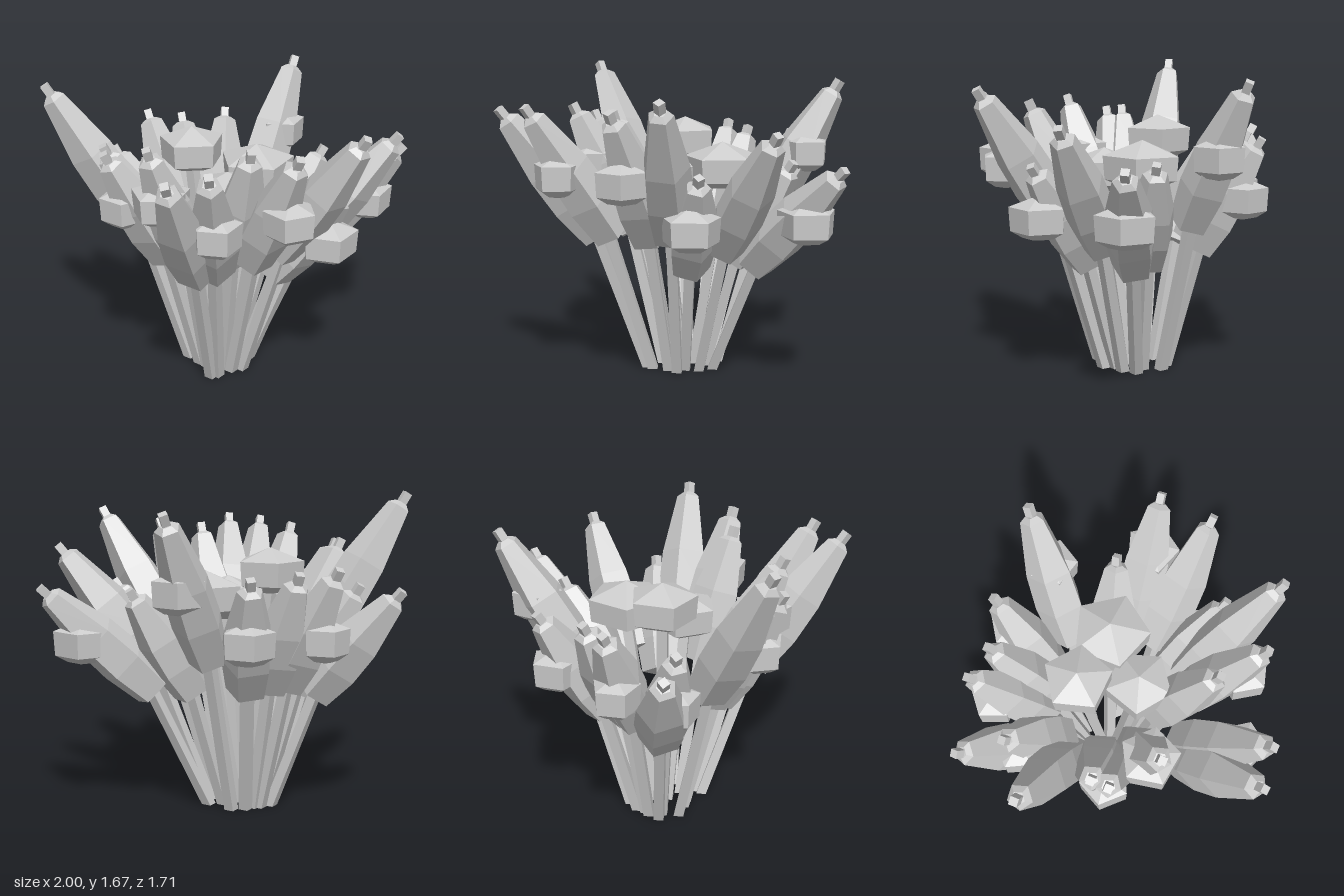
import * as THREE from 'three';

const UP = new THREE.Vector3(0, 1, 0);
const material = new THREE.MeshStandardMaterial({ color: 0xcccccc, flatShading: true, side: THREE.DoubleSide });
const v = (x, y, z) => new THREE.Vector3(x, y, z);

// Faceted solid of revolution from [radius, height] pairs
function faceted(profile, sides) {
  return new THREE.LatheGeometry(profile.map(([r, y]) => new THREE.Vector2(r, y)), sides).toNonIndexed();
}

function mesh(name, geometry) {
  const m = new THREE.Mesh(geometry, material);
  m.name = name;
  return m;
}

// Foot of a stem on the ground, gathered towards the middle of the bunch
const foot = (x, z) => v(-0.072 + x * 0.185, 0, -0.115 + z * 0.24);

// Four-sided stem, sheared so its foot stays flat on the ground
function stem(from, to) {
  const h = to.y - from.y;
  const g = new THREE.CylinderGeometry(0.038, 0.038, h, 4).translate(0, h / 2, 0);
  const p = g.attributes.position;
  for (let i = 0; i < p.count; i++) {
    const t = p.getY(i) / h;
    p.setX(i, p.getX(i) + from.x + (to.x - from.x) * t);
    p.setZ(i, p.getZ(i) + from.z + (to.z - from.z) * t);
  }
  return mesh('stem', g);
}

// Long five-sided bud ending in a small square tip
function bud(x, y, z) {
  const g = new THREE.Group();
  g.name = 'bud';
  const base = foot(x, z);
  const tip = v(x, y - 0.015, z);
  const bottom = base.clone().lerp(tip, 0.35).setY(y * 0.5 + 0.055);
  const dir = tip.clone().sub(bottom);
  const len = dir.length();
  const body = new THREE.Group();
  body.name = 'budBody';
  const profile = [[0, 0], [0.11, 0], [0.134, 0.28], [0.125, 0.55], [0.066, 0.94], [0.035, 0.97], [0, 0.97]];
  body.add(mesh('petals', faceted(profile.map(([r, t]) => [r, t * len]), 5)));
  const square = mesh('budTip', new THREE.BoxGeometry(0.042, 0.07, 0.042));
  square.position.y = len;
  body.add(square);
  body.position.copy(bottom);
  body.quaternion.setFromUnitVectors(UP, dir.normalize());
  g.add(stem(base, bottom.clone().lerp(tip, 0.05)), body);
  return g;
}

// Upright five-sided flower head with a low pointed top and bottom
function head(x, y, z, r, turn) {
  const cap = mesh('flowerHead', faceted([[0, -0.11], [r * 0.55, -0.095], [r * 0.95, -0.06], [r, 0.065], [0, 0.065 + r * 0.38]], 5));
  cap.position.set(x, y, z);
  cap.rotation.y = turn;
  return cap;
}

export function createModel() {
  const model = new THREE.Group();
  model.name = 'bouquet';

  // Bud tips: x, y, z
  const buds = [
    [-0.41, 1.3, -0.74], [-0.22, 1.28, -0.72], [0.04, 1.27, -0.81], [0.44, 1.58, -0.77],
    [-0.76, 1.18, -0.66], [-0.61, 1.19, -0.47], [-0.96, 1.64, -0.2], [0.53, 1.18, -0.34],
    [0.96, 1.2, -0.26], [0.84, 1.38, 0.07], [-0.68, 1.38, 0.04], [-0.68, 1.37, 0.13],
    [-0.48, 1.45, 0.32], [-0.43, 1.46, 0.81], [-0.23, 1.48, 0.78], [0.015, 1.45, 0.42],
    [0.22, 1.47, 0.59], [0.52, 1.16, 0.28], [0.55, 1.54, 0.545],
  ];
  for (const b of buds) model.add(bud(...b));

  // Middle flower heads on their own stems: x, y, z, radius, turn
  const middleHeads = [
    [-0.21, 1.25, -0.24, 0.18, 0.6], [0.14, 1.13, -0.21, 0.21, 1.57], [-0.05, 1.08, 0.03, 0.18, 0],
  ];
  for (const [x, y, z, r, turn] of middleHeads) {
    model.add(stem(foot(x, z), v(x, y - 0.09, z)), head(x, y, z, r, turn));
  }

  // Outer flower heads, clasping the buds
  const outerHeads = [
    [-0.18, 1.125, 0.64, 0.128, 0.3], [0.2, 1.12, 0.51, 0.138, 0.9], [-0.42, 1.14, 0.24, 0.158, 0.5],
    [0.45, 0.89, 0.27, 0.158, 0.2], [0.765, 0.915, -0.23, 0.155, 1.57], [0.03, 0.96, -0.73, 0.135, 0.6],
    [-0.38, 0.95, -0.66, 0.125, 0.7], [0.35, 1.205, -0.63, 0.135, 0.4], [-0.6, 1.06, 0.07, 0.13, 1.1],
    [-0.57, 0.9, -0.44, 0.125, 0.8],
  ];
  for (const h of outerHeads) model.add(head(...h));

  return model;
}
